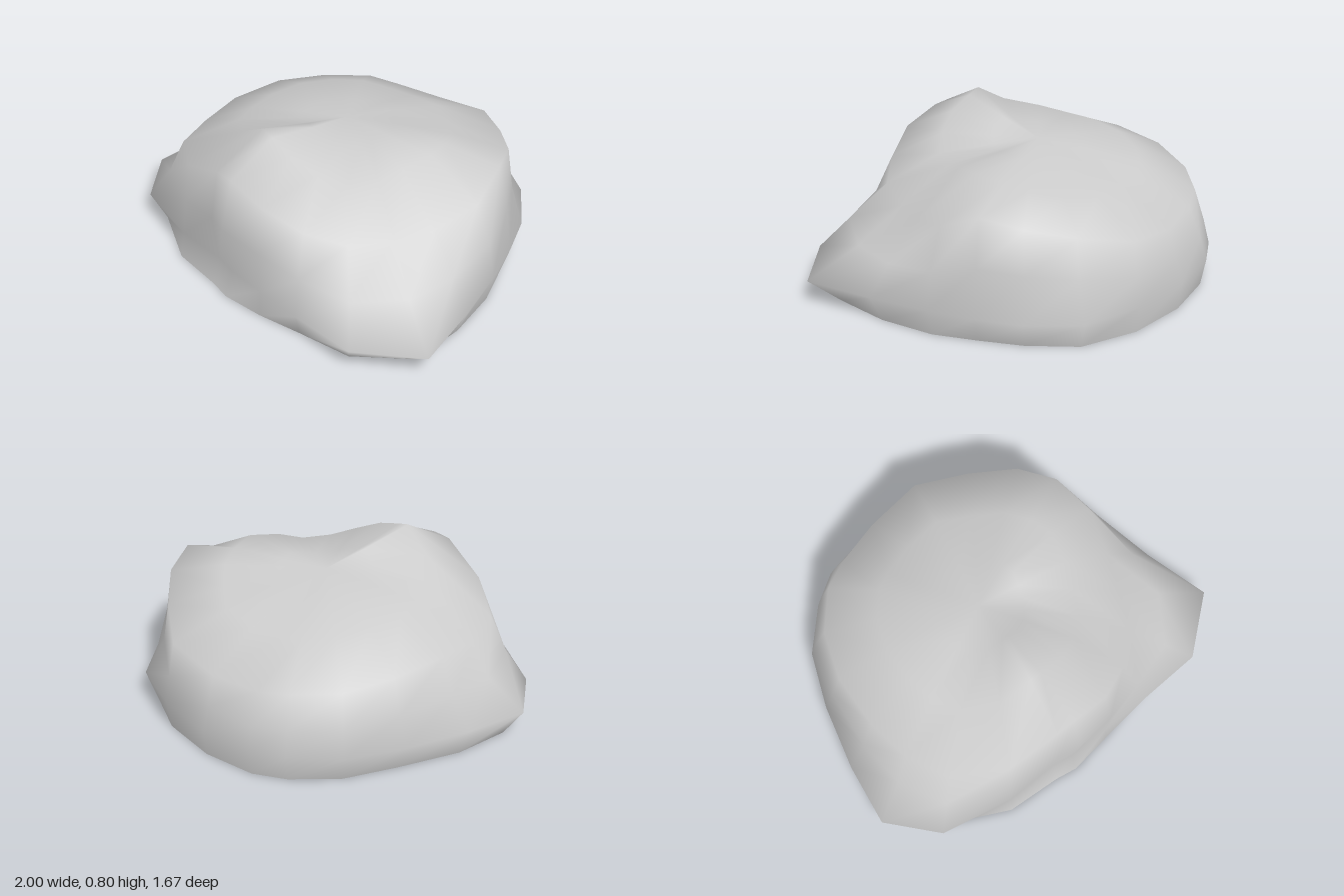
import * as THREE from 'three';

// Each spoke: angle in degrees (from +x towards +z), base radius, widest radius,
// mid-wall radius, rim radius, rim height, inner crown height
const SPOKES = [
  [0, .87, .90, .87, .79, .53, .685],
  [17, .94, 1.0, .89, .73, .46, .66],
  [32.6, 1.03, 1.19, .93, .71, .45, .62],
  [50, .96, 1.085, .93, .74, .47, .62],
  [66, .83, .88, .83, .74, .52, .67],
  [82, .79, .78, .79, .74, .60, .73],
  [98, .79, .75, .79, .72, .65, .775],
  [106, .78, .74, .77, .73, .65, .795],
  [125, .85, .83, .81, .78, .54, .69],
  [146, .92, 1.0, .89, .81, .48, .63],
  [163, .95, 1.045, .86, .77, .46, .61],
  [180, .86, .91, .81, .74, .48, .61],
  [202, .78, .84, .79, .74, .47, .60],
  [222, .80, .85, .82, .76, .44, .58],
  [240, .82, .85, .82, .77, .43, .57],
  [252, .83, .855, .82, .76, .41, .56],
  [271, .82, .838, .80, .76, .41, .56],
  [292, .83, .85, .83, .80, .46, .58],
  [312, .85, .90, .80, .77, .52, .60],
  [330, .82, .88, .82, .79, .58, .64],
  [345, .82, .87, .84, .79, .62, .67],
];

function makeGeometry(points, index) {
  const g = new THREE.BufferGeometry();
  g.setAttribute('position', new THREE.Float32BufferAttribute(points.flat(), 3));
  g.setIndex(index);
  g.computeVertexNormals();
  return g;
}

export function createModel() {
  const stone = new THREE.MeshStandardMaterial({ color: 0xcccccc });
  stone.name = 'stone grey';
  const group = new THREE.Group();
  group.name = 'boulder';
  const n = SPOKES.length;

  // Radius and height of every ring along one spoke, from the ground up
  const profile = ([, base, wide, mid, rim, rimY, crownY]) => [
    [base, 0], [wide, .14], [mid, rimY * .62], [rim, rimY],
    [rim * .65, crownY], [rim * .3, crownY * .4 + .68 * .6],
  ];
  const profiles = SPOKES.map(profile);
  const rings = profiles[0].length;

  // Smooth rock surface: rings joined by quads and closed by a crown fan
  const points = [], faces = [];
  for (let i = 0; i < rings; i++) {
    for (let j = 0; j < n; j++) {
      const a = THREE.MathUtils.degToRad(SPOKES[j][0]);
      const [r, y] = profiles[j][i];
      points.push([r * Math.cos(a), y, r * Math.sin(a)]);
    }
  }
  const top = points.push([0, .68, 0]) - 1;
  for (let j = 0; j < n; j++) {
    const k = (j + 1) % n;
    for (let i = 0; i < rings - 1; i++) {
      const a = i * n + j, b = i * n + k;
      faces.push(a, a + n, b, b, a + n, b + n);
    }
    const last = (rings - 1) * n;
    faces.push(last + j, top, last + k);
  }
  const rock = new THREE.Mesh(makeGeometry(points, faces), stone);
  rock.name = 'rockSurface';

  // Flat underside with its own normals
  const basePoints = [...points.slice(0, n), [0, 0, 0]];
  const baseFaces = [];
  for (let j = 0; j < n; j++) baseFaces.push(n, j, (j + 1) % n);
  const underside = new THREE.Mesh(makeGeometry(basePoints, baseFaces), stone);
  underside.name = 'underside';

  group.add(rock, underside);
  return group;
}
